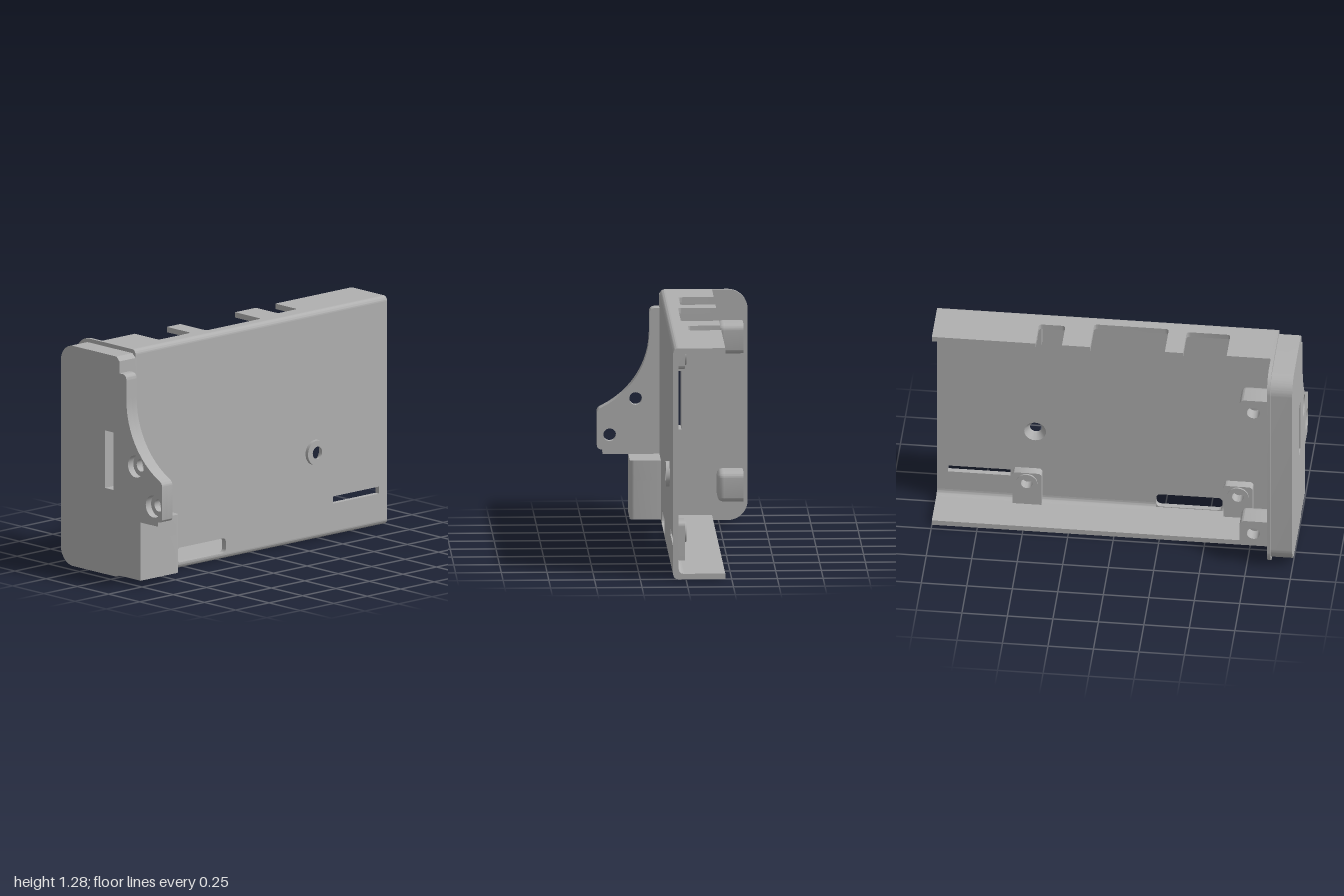
import * as THREE from 'three';
import { toCreasedNormals } from 'three/addons/utils/BufferGeometryUtils.js';

const shell = new THREE.MeshStandardMaterial({ color: 0xb0b0b0 });
shell.name = 'shell grey';

// Rectangle with a radius for each corner: [u0v0, u1v0, u1v1, u0v1]
function rect(u0, v0, u1, v1, r = 0, Type = THREE.Shape) {
  const [a, b, c, d] = Array.isArray(r) ? r : [r, r, r, r];
  const s = new Type();
  const arc = (x, y, rad, start) => rad
    ? s.absarc(x, y, rad, start, start + Math.PI / 2, false)
    : s.lineTo(x, y);
  s.moveTo(u0 + a, v0);
  arc(u1 - b, v0 + b, b, -Math.PI / 2);
  arc(u1 - c, v1 - c, c, 0);
  arc(u0 + d, v1 - d, d, Math.PI / 2);
  arc(u0 + a, v0 + a, a, Math.PI);
  return s;
}

const hole = (u, v, r) => new THREE.Path().absarc(u, v, r, 0, Math.PI * 2, true);

function withHoles(shape, ...holes) {
  shape.holes.push(...holes);
  return shape;
}

// Extrude along one axis; shape coordinates are x:(z,y)  y:(x,-z)  z:(x,y)
function slab(axis, shape, from, to, bevel = 0) {
  const geo = new THREE.ExtrudeGeometry(shape, {
    depth: to - from - 2 * bevel, curveSegments: 12, bevelEnabled: bevel > 0,
    bevelSize: bevel, bevelThickness: bevel, bevelOffset: -bevel, bevelSegments: 4,
  });
  geo.translate(0, 0, bevel);
  if (axis === 'x') geo.rotateY(-Math.PI / 2).translate(to, 0, 0);
  if (axis === 'y') geo.rotateX(-Math.PI / 2).translate(0, from, 0);
  if (axis === 'z') geo.translate(0, 0, from);
  return toCreasedNormals(geo, 0.6);
}

export function createModel() {
  const model = new THREE.Group();
  model.name = 'deviceCase';
  const add = (name, geo) => {
    const mesh = new THREE.Mesh(geo, shell);
    mesh.name = name;
    model.add(mesh);
    return mesh;
  };
  const T = 0.03, H = 1.28, FRONT = 0.07, INNER = 0.04, L = -0.87;

  // Main wall with screw hole, port opening and narrow slit
  add('mainWall', slab('z', withHoles(
    rect(L, T, 1, H - T),
    hole(0.46, 0.49, 0.06),
    rect(-0.57, 0.034, -0.205, 0.117, 0.025, THREE.Path),
    rect(0.595, 0.18, 0.94, 0.22, 0, THREE.Path),
  ), INNER, FRONT));

  // Raised, countersunk screw collar
  const collar = new THREE.LatheGeometry([
    [0.07, 0.065], [0.07, 0.09], [0.035, 0.09], [0.035, 0.075], [0.06, 0.04],
  ].map(([r, y]) => new THREE.Vector2(r, y)), 32);
  collar.rotateX(Math.PI / 2).translate(0.46, 0.49, 0);
  add('screwCollar', toCreasedNormals(collar, 0.6));

  // Bottom flange, and top flange with three notches cut from its back edge
  add('bottomFlange', slab('y', rect(L, -INNER, 1, 0.215), 0, T));
  const top = new THREE.Shape();
  top.moveTo(L, -INNER);
  top.lineTo(1, -INNER);
  top.lineTo(1, 0.215);
  const R = 0.02;
  for (const [x0, x1, v] of [[0.285, 0.43, 0.038], [-0.28, 0.13, 0.006], [-0.62, -0.38, 0.022]]) {
    top.lineTo(x1, 0.215);
    top.lineTo(x1, v + R);
    top.quadraticCurveTo(x1, v, x1 - R, v);
    top.lineTo(x0 + R, v);
    top.quadraticCurveTo(x0, v, x0, v + R);
    top.lineTo(x0, 0.215);
  }
  top.lineTo(L, 0.215);
  add('topFlange', slab('y', top, H - T, H));

  // Rounded outer corners
  add('bottomCorner', slab('x', rect(INNER, 0, FRONT, T, [0, 0.028, 0, 0]), L, 1));
  add('topCorner', slab('x', rect(INNER, H - T, FRONT, H, [0, 0, 0.028, 0]), L, 1));

  // Coves inside the corners, leaving the port opening clear
  const cove = (y, dir) => {
    const s = new THREE.Shape();
    s.moveTo(INNER, y);
    s.lineTo(INNER, y + dir * 0.03);
    s.quadraticCurveTo(INNER, y, INNER - 0.03, y);
    return s;
  };
  add('topCove', slab('x', cove(H - T, -1), L, 1));
  add('bottomCove', slab('x', cove(T, 1), L, -0.57));
  add('bottomCove', slab('x', cove(T, 1), -0.205, 1));

  // Four board mounts with raised rings
  for (const x of [0.5, -0.66]) {
    for (const [y, y0, y1, r] of [
      [1.16, 1.09, H - T, [0.02, 0.02, 0, 0]],
      [0.177, T, 0.24, [0, 0, 0.02, 0.02]],
    ]) {
      add('boardMount', slab('z', withHoles(
        rect(x - 0.08, y0, x + 0.08, y1, r), hole(x, y, 0.032)), -0.01, INNER));
      add('mountRing', slab('z', withHoles(
        new THREE.Shape().absarc(x, y, 0.058, 0, Math.PI * 2), hole(x, y, 0.032)), -0.02, -0.01));
    }
  }

  // End block and its flared lip, both pierced by the cable slot
  const cableSlot = () => rect(-0.048, 0.505, 0.022, 0.828, 0, THREE.Path);
  const block = new THREE.Shape();
  block.moveTo(-0.3, 0.022);
  block.lineTo(0.045, 0.022);
  block.lineTo(FRONT, 0.045);
  block.lineTo(FRONT, 1.235);
  block.lineTo(0.045, 1.258);
  block.lineTo(-0.3, 1.258);
  block.absarc(-0.3, 1.158, 0.1, Math.PI / 2, Math.PI, false);
  block.absarc(-0.3, 0.122, 0.1, Math.PI, Math.PI * 1.5, false);
  add('endBlock', slab('x', withHoles(block, cableSlot()), -1, -0.88));
  add('endLip', slab('x', withHoles(
    rect(-0.41, 0, FRONT, H, [0.11, 0.028, 0.028, 0.11]), cableSlot()), -0.88, -0.862));

  // Two rounded lugs with screw holes facing backwards
  for (const y of [0.207, 1.028]) {
    const outline = () => rect(-0.875, y - 0.081, -0.708, y + 0.081, [0, 0.03, 0.03, 0]);
    add('lug', slab('z', withHoles(outline(), hole(-0.785, y, 0.036)), -0.382, -0.28));
    add('lugInnerEnd', slab('z', outline(), -0.31, -0.24, 0.029));
  }

  // Curved bracket fin with two counterbored holes
  const fin = (r) => {
    const s = new THREE.Shape();
    s.moveTo(0.06, 0.36);
    s.lineTo(0.38, 0.36);
    s.lineTo(0.38, 0.385);
    s.quadraticCurveTo(0.412, 0.385, 0.412, 0.41);
    s.lineTo(0.412, 0.585);
    s.quadraticCurveTo(0.412, 0.607, 0.39, 0.617);
    s.bezierCurveTo(0.22, 0.7, 0.125, 0.86, 0.125, 1.03);
    s.lineTo(0.125, 1.135);
    s.quadraticCurveTo(0.125, 1.168, 0.092, 1.168);
    s.lineTo(0.06, 1.168);
    return withHoles(s, hole(0.2, 0.667, r), hole(0.342, 0.467, r));
  };
  add('bracketFinOuter', slab('x', fin(0.062), -1, -0.96));
  add('bracketFinInner', slab('x', fin(0.035), -0.96, -0.923));

  // Foot block with a blind hole in its underside
  const foot = () => rect(-1, -0.24, -0.708, -0.06, [0, 0.025, 0, 0]);
  add('footLower', slab('y', withHoles(foot(), hole(-0.785, -0.16, 0.042)), 0.033, 0.25));
  add('footUpper', slab('y', foot(), 0.25, 0.36));

  return model;
}
